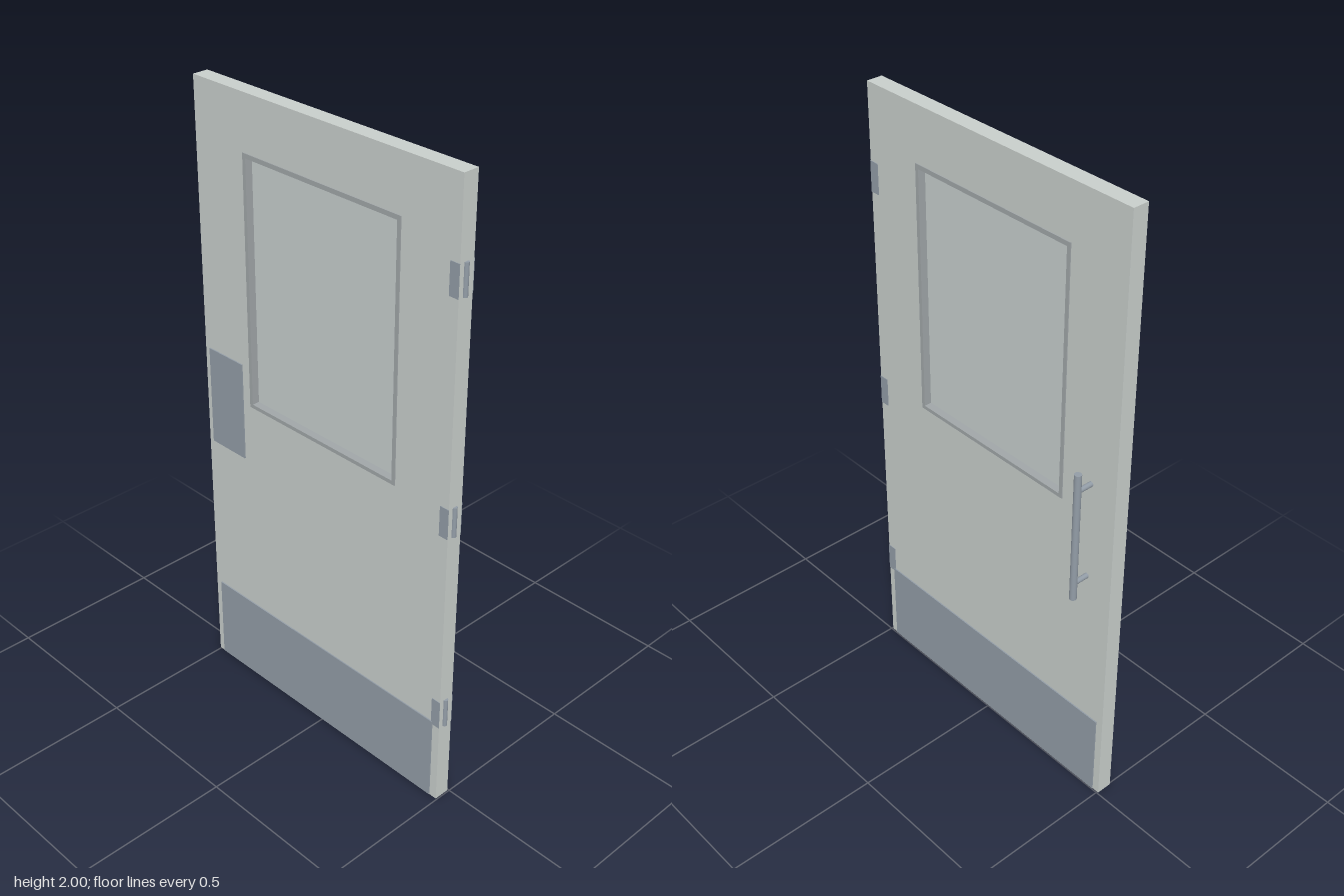
import * as THREE from 'three';

const mat = (name, color) => {
  const m = new THREE.MeshStandardMaterial({ color });
  m.name = name;
  return m;
};

// Rectangle outline with a rectangular opening, extruded from z0 to z1
function ring([ox0, oy0, ox1, oy1], [ix0, iy0, ix1, iy1], z0, z1) {
  const rect = (P, a, b, c, d) => new P([[a, b], [c, b], [c, d], [a, d]].map(p => new THREE.Vector2(...p)));
  const shape = rect(THREE.Shape, ox0, oy0, ox1, oy1);
  shape.holes.push(rect(THREE.Path, ix0, iy0, ix1, iy1));
  return new THREE.ExtrudeGeometry(shape, { depth: z1 - z0, bevelEnabled: false }).translate(0, 0, z0);
}

// Box given by its limits
function block(x0, x1, y0, y1, z0, z1) {
  return new THREE.BoxGeometry(x1 - x0, y1 - y0, z1 - z0)
    .translate((x0 + x1) / 2, (y0 + y1) / 2, (z0 + z1) / 2);
}

export function createModel() {
  const door = new THREE.Group();
  door.name = 'door';
  const paint = mat('door paint', 0xc8cecb);
  const metal = mat('brushed metal', 0x929ca6);
  const trim = mat('window trim', 0xa0a6a8);
  const pane = mat('window glass', 0xc6cecd);

  const add = (name, geometry, material, parent = door) => {
    const mesh = new THREE.Mesh(geometry, material);
    mesh.name = name;
    parent.add(mesh);
    return mesh;
  };

  const back = 0.004, front = 0.055;
  const x0 = -0.504, x1 = 0.496;

  // Slab with window opening
  const win = [-0.302, 1.033, 0.294, 1.827];
  add('slab', ring([x0, 0, x1, 2], win, back, front), paint);

  // Window: thin frame through the slab, recessed glass
  add('windowFrame', ring([-0.304, 1.031, 0.296, 1.829], [-0.292, 1.043, 0.284, 1.815], back - 0.003, front + 0.003), trim);
  add('windowGlass', block(-0.293, 0.285, 1.042, 1.816, 0.025, 0.034), pane);

  // Kick plates on both faces
  add('frontKickPlate', block(-0.48, 0.47, 0.003, 0.29, front, front + 0.004), metal);
  add('backKickPlate', block(-0.48, 0.47, 0.003, 0.29, back - 0.004, back), metal);

  // Push plate
  add('pushPlate', block(-0.484, -0.337, 0.835, 1.16, front, front + 0.004), metal);

  // Pull handle on the back: upright bar on two posts
  const handle = new THREE.Group();
  handle.name = 'pullHandle';
  door.add(handle);
  const hx = -0.411, hz = -0.048;
  add('handleBar', new THREE.CylinderGeometry(0.011, 0.011, 0.435, 24), metal, handle).position.set(hx, 0.982, hz);
  for (const y of [0.82, 1.142]) {
    const post = add('handlePost', new THREE.CylinderGeometry(0.008, 0.008, back - hz, 20), metal, handle);
    post.rotation.x = Math.PI / 2;
    post.position.set(hx, y, (back + hz) / 2);
  }

  // Hinges: leaf showing on both faces, knuckle on the edge
  for (const y of [0.328, 0.998, 1.717]) {
    const hinge = new THREE.Group();
    hinge.name = 'hinge';
    hinge.position.y = y;
    door.add(hinge);
    add('frontLeaf', block(0.465, x1, -0.048, 0.048, front, front + 0.002), metal, hinge);
    add('backLeaf', block(0.465, x1, -0.048, 0.048, back - 0.002, back), metal, hinge);
    add('knuckle', new THREE.CylinderGeometry(0.008, 0.008, 0.096, 20), metal, hinge).position.set(x1, 0, 0.032);
  }
  return door;
}
